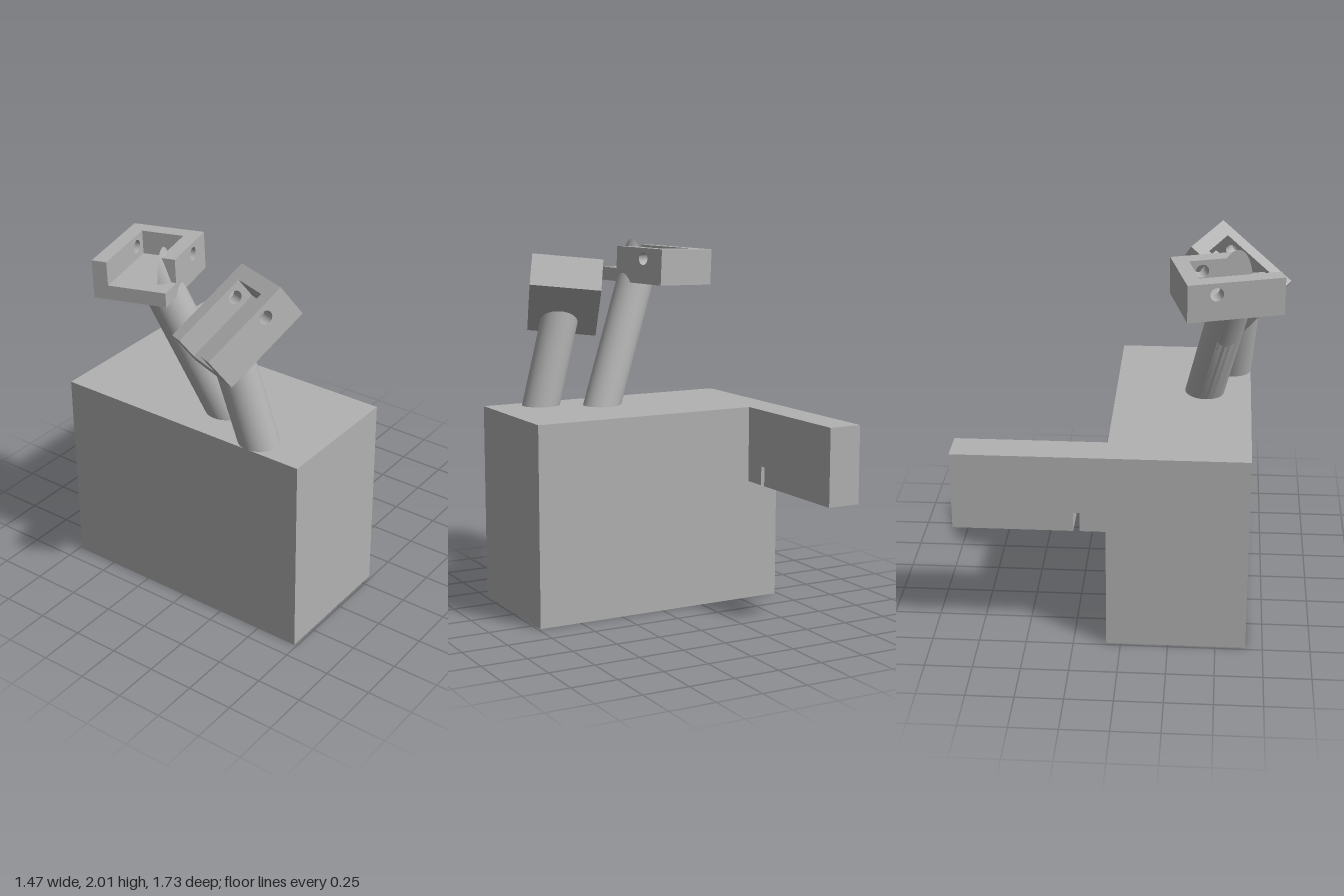
import * as THREE from 'three';
import { toCreasedNormals } from 'three/addons/utils/BufferGeometryUtils.js';

const W = 0.39, L = 0.5, H = 0.2;         // holder width, length, height
const WALL = 0.08, FLOOR = 0.075;         // holder wall and floor thickness
const V = (x, y, z) => new THREE.Vector3(x, y, z);

export function createModel() {
  const model = new THREE.Group();
  model.name = 'blockWithHolders';
  const grey = new THREE.MeshStandardMaterial({ color: 0xb2b2b2 });
  grey.name = 'grey';

  const add = (parent, name, geometry) => {
    const mesh = new THREE.Mesh(geometry, grey);
    mesh.name = name;
    parent.add(mesh);
    return mesh;
  };

  // box given by its minimum and maximum corners
  const box = (a, b) => new THREE.BoxGeometry(b[0] - a[0], b[1] - a[1], b[2] - a[2])
    .translate((a[0] + b[0]) / 2, (a[1] + b[1]) / 2, (a[2] + b[2]) / 2);

  // plate with a (z, y) profile, spanning x0 to x0 + thickness
  const plate = (shape, x0, thickness) =>
    new THREE.ExtrudeGeometry(shape, { depth: thickness, bevelEnabled: false, curveSegments: 24 })
      .rotateY(-Math.PI / 2).translate(x0 + thickness, 0, 0);
  const polygon = (points) => new THREE.Shape(points.map(([z, y]) => new THREE.Vector2(z, y)));

  // round post whose top is cut off by a plane
  const post = (base, direction, normal, pointOnPlane) => {
    const d = direction.clone().normalize();
    const geo = new THREE.CylinderGeometry(0.104, 0.104, 1, 48).translate(0, 0.5, 0);
    const turn = new THREE.Quaternion().setFromUnitVectors(V(0, 1, 0), d);
    const start = base.clone().addScaledVector(d, -0.06);
    const pos = geo.attributes.position;
    for (let i = 0; i < pos.count; i++) {
      const isTop = pos.getY(i) > 0.5;
      const p = V(pos.getX(i), 0, pos.getZ(i)).applyQuaternion(turn).add(start);
      if (isTop) p.addScaledVector(d, pointOnPlane.clone().sub(p).dot(normal) / d.dot(normal));
      pos.setXYZ(i, p.x, p.y, p.z);
    }
    return toCreasedNormals(geo, 0.6);
  };

  // main block
  add(model, 'body', box([-0.735, 0, -0.075], [0.735, 1.095, 0.66]));

  // rear arm with a narrow slot in its underside
  const armProfile = polygon([
    [-0.865, 0.675], [-0.24, 0.675], [-0.24, 0.78], [-0.208, 0.78],
    [-0.208, 0.675], [-0.075, 0.675], [-0.075, 1.095], [-0.865, 1.095],
  ]);
  add(model, 'rearArm', plate(armProfile, -0.735, 0.185));

  // open-fronted tray; its origin is the lower back right corner
  const makeHolder = (name, origin, across, forward, leftWallLength) => {
    const holder = new THREE.Group();
    holder.name = name;
    const x = across.clone().normalize();
    const y = forward.clone().cross(x).normalize();
    const z = x.clone().cross(y);
    holder.quaternion.setFromRotationMatrix(new THREE.Matrix4().makeBasis(x, y, z));
    holder.position.copy(origin);
    add(holder, 'holderFloor', box([0, 0, 0], [W, FLOOR, L]));
    add(holder, 'holderBackWall', box([WALL, FLOOR, 0], [W - WALL, H, WALL]));
    for (const [side, x0, length] of [['Right', 0, L], ['Left', W - WALL, leftWallLength]]) {
      const wall = polygon([[0, FLOOR], [length, FLOOR], [length, H], [0, H]]);
      wall.holes.push(new THREE.Path().absarc(0.15, 0.14, 0.035, 0, Math.PI * 2, true));
      add(holder, `holder${side}Wall`, plate(wall, x0, WALL));
    }
    model.add(holder);
    const at = (a, b, c) => V(a, b, c).applyQuaternion(holder.quaternion).add(origin);
    return { x, y, at };
  };

  const right = makeHolder('rightHolder', V(-0.527, 1.75, 0.32),
    V(0.38, 0.014, -0.1), V(0.13, 0.008, 0.48), 0.37);
  const left = makeHolder('leftHolder', V(0.217, 1.75, 0.22),
    V(0.35, 0.035, 0.165), V(-0.155, -0.285, 0.37), L);

  // posts ending inside the holder floors
  const rightBase = V(0.1225, 1.095, 0.407), rightLean = V(-0.42, 1, 0.21);
  add(model, 'rightPost', post(rightBase, rightLean, right.y, right.at(0, 0.04, 0)));
  add(model, 'leftPost', post(V(0.432, 1.095, 0.557), V(-0.29, 1, 0.08), left.y, left.at(0, 0.04, 0)));

  // sliver of the right post standing above the floor, flush with the inner wall
  add(model, 'rightPostTip', post(rightBase, rightLean, right.x, right.at(W - WALL, 0, 0)));

  return model;
}
